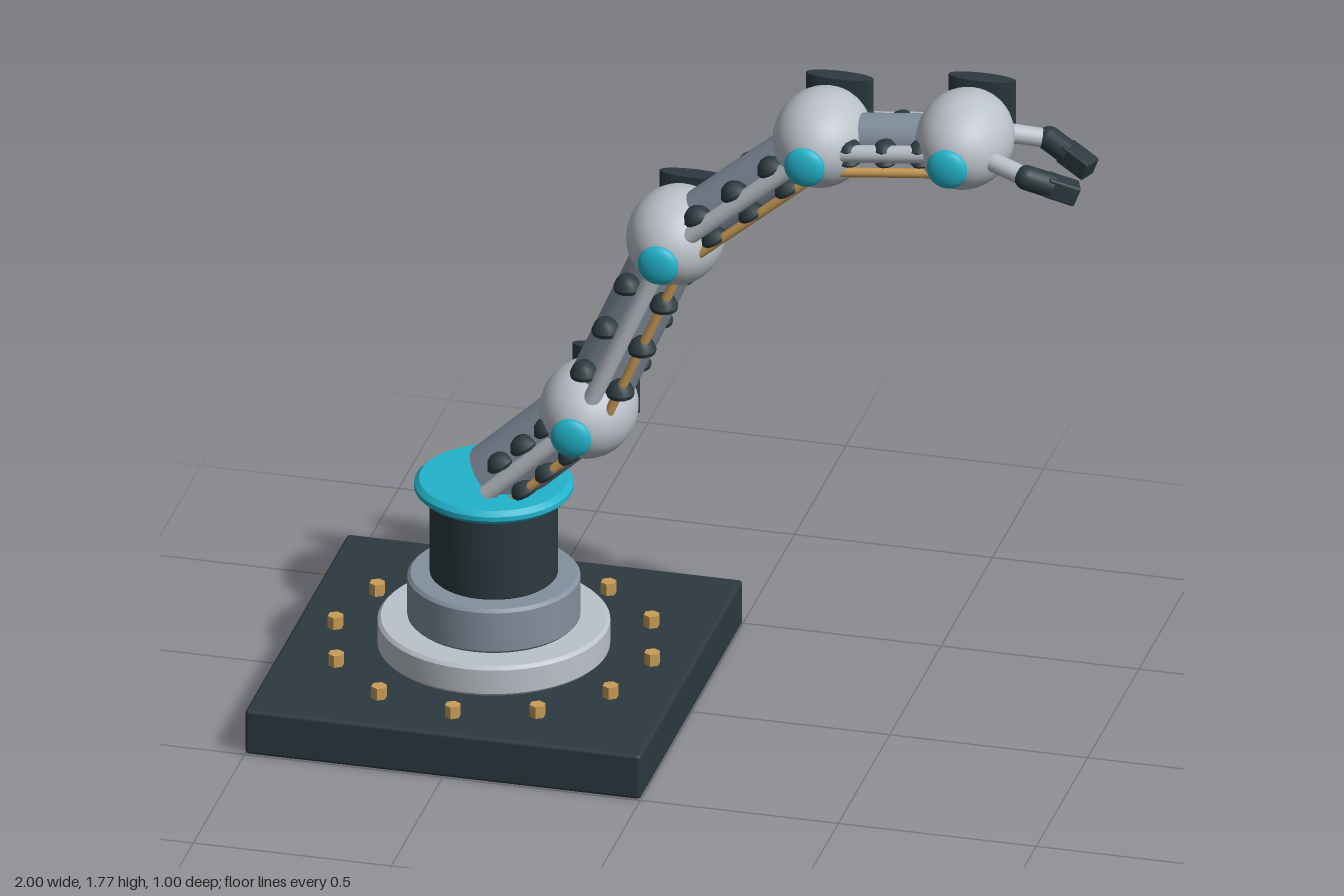
import * as THREE from 'three';
import { RoundedBoxGeometry } from 'three/addons/geometries/RoundedBoxGeometry.js';
import { toCreasedNormals } from 'three/addons/utils/BufferGeometryUtils.js';

const material = (name, color) => {
  const m = new THREE.MeshStandardMaterial({ color });
  m.name = name;
  return m;
};

export function createModel() {
  const dark = material('dark slate', 0x2c3a40);
  const light = material('light grey', 0xbcc2ca);
  const steel = material('steel grey', 0x8490a0);
  const cyan = material('cyan', 0x22b4cc);
  const brass = material('brass', 0xcb9d58);

  const model = new THREE.Group();
  model.name = 'robotArm';

  const add = (parent, name, geometry, mat, x = 0, y = 0, z = 0) => {
    const mesh = new THREE.Mesh(geometry, mat);
    mesh.name = name;
    mesh.position.set(x, y, z);
    parent.add(mesh);
    return mesh;
  };

  // Disc with softened rims, standing between two heights
  const disc = (r, y0, y1, b) => toCreasedNormals(new THREE.LatheGeometry([
    [0, y0], [r - b, y0], [r, y0 + b], [r, y1 - b], [r - b, y1], [0, y1],
  ].map(p => new THREE.Vector2(...p)), 48), 0.6);

  // Round rod running between two points
  const rod = (parent, name, a, b, r, mat) => {
    const dir = b.clone().sub(a);
    const mid = a.clone().add(b).multiplyScalar(0.5);
    const mesh = add(parent, name, new THREE.CylinderGeometry(r, r, dir.length(), 20), mat, ...mid);
    mesh.quaternion.setFromUnitVectors(new THREE.Vector3(0, 1, 0), dir.normalize());
    return mesh;
  };

  // Base plate, stacked turntable and bolt circle
  const base = new THREE.Group();
  base.name = 'base';
  base.position.x = -0.5;
  model.add(base);
  add(base, 'basePlate', new RoundedBoxGeometry(1, 0.12, 1, 2, 0.01), dark, 0, 0.06, 0);
  add(base, 'lowerRing', disc(0.285, 0.12, 0.2, 0.008), light);
  add(base, 'middleRing', disc(0.212, 0.2, 0.32, 0.008), steel);
  add(base, 'column', disc(0.157, 0.32, 0.55, 0.004), dark);
  add(base, 'turntableDisc', disc(0.195, 0.542, 0.578, 0.012), cyan);
  const boltGeometry = toCreasedNormals(new THREE.CylinderGeometry(0.02, 0.02, 0.035, 6), 0.5);
  for (let i = 0; i < 12; i++) {
    const a = i * Math.PI / 6;
    add(base, 'bolt', boltGeometry, brass, 0.4 * Math.cos(a), 0.134, 0.4 * Math.sin(a));
  }

  // Joint balls with a front lens cap and a curved back plate
  const points = [[-0.495, 0.58], [-0.26, 0.8], [-0.04, 1.3], [0.33, 1.615], [0.69, 1.655]];
  const ball = new THREE.SphereGeometry(1, 32, 24);
  const plate = new THREE.CylinderGeometry(0.085, 0.085, 0.17, 32);
  points.slice(1).forEach(([x, y]) => {
    const joint = new THREE.Group();
    joint.name = 'joint';
    joint.position.set(x, y, 0);
    model.add(joint);
    add(joint, 'jointBall', ball, light).scale.set(0.12, 0.12, 0.15);
    add(joint, 'jointCap', ball, cyan, 0, 0, 0.175).scale.set(0.051, 0.051, 0.022);
    add(joint, 'backPlate', plate, dark, 0, 0, -0.17).scale.z = 0.28;
  });

  // Domed pad with a flat underside
  const pad = toCreasedNormals(new THREE.LatheGeometry([
    [0, 0], [0.9, 0], [1, 0.25], [0.75, 0.75], [0.4, 1], [0, 1],
  ].map(p => new THREE.Vector2(...p)), 12), 0.7);

  // Arm segments: tube, side rods, cables and rows of pads
  const specs = [
    { r: 0.09, off: 0.045, tilt: 0.5, h: 0.036 },
    { r: 0.08, off: 0.05, tilt: 0, h: 0.042 },
    { r: 0.07, off: 0.034, tilt: 0.5, h: 0.036 },
    { r: 0.06, off: 0.018, tilt: 0.09, h: 0.022 },
  ];
  specs.forEach(({ r, off, tilt, h }, i) => {
    const [x0, y0] = points[i];
    const [x1, y1] = points[i + 1];
    const length = Math.hypot(x1 - x0, y1 - y0);
    const segment = new THREE.Group();
    segment.name = 'armSegment';
    segment.position.set(x0, y0, 0);
    segment.rotation.z = Math.atan2(y1 - y0, x1 - x0) - Math.PI / 2;
    model.add(segment);
    add(segment, 'armTube', new THREE.CylinderGeometry(r, r, length, 32), steel, 0, length / 2, 0);
    for (const side of [-1, 1]) {
      add(segment, 'sideRod', new THREE.CylinderGeometry(0.022, 0.022, length, 16), light,
        0, length / 2, side * 0.095);
      add(segment, 'cable', new THREE.CylinderGeometry(0.012, 0.012, length * 0.9, 12), brass,
        0.052, length * 0.52, side * 0.092);
      for (const t of [0.25, 0.5, 0.75]) {
        for (const row of [-1, 1]) {
          const mesh = add(segment, 'gripPad', pad, dark, row * off, length * t, side * 0.082);
          mesh.scale.set(i === 3 ? 0.028 : 0.036, h, 0.036);
          mesh.rotation.z = tilt - segment.rotation.z;
          mesh.translateY(-h / 2);
        }
      }
    }
  });

  // Two-finger gripper
  for (const side of [-1, 1]) {
    const finger = new THREE.Group();
    finger.name = 'finger';
    model.add(finger);
    const root = new THREE.Vector3(0.74, 1.65, side * 0.07);
    const knuckle = new THREE.Vector3(0.875, 1.624, side * 0.11);
    const tip = new THREE.Vector3(0.99, 1.574, side * 0.068);
    rod(finger, 'fingerRod', root, knuckle, 0.024, light);
    add(finger, 'knuckle', ball, dark, ...knuckle).scale.setScalar(0.031);
    rod(finger, 'fingerSleeve', knuckle, knuckle.clone().lerp(tip, 0.5), 0.031, dark);
    const nail = add(finger, 'fingerTip', new RoundedBoxGeometry(0.052, 0.052, 0.085, 2, 0.006), dark,
      ...knuckle.clone().lerp(tip, 0.68));
    nail.lookAt(tip);
  }

  return model;
}
